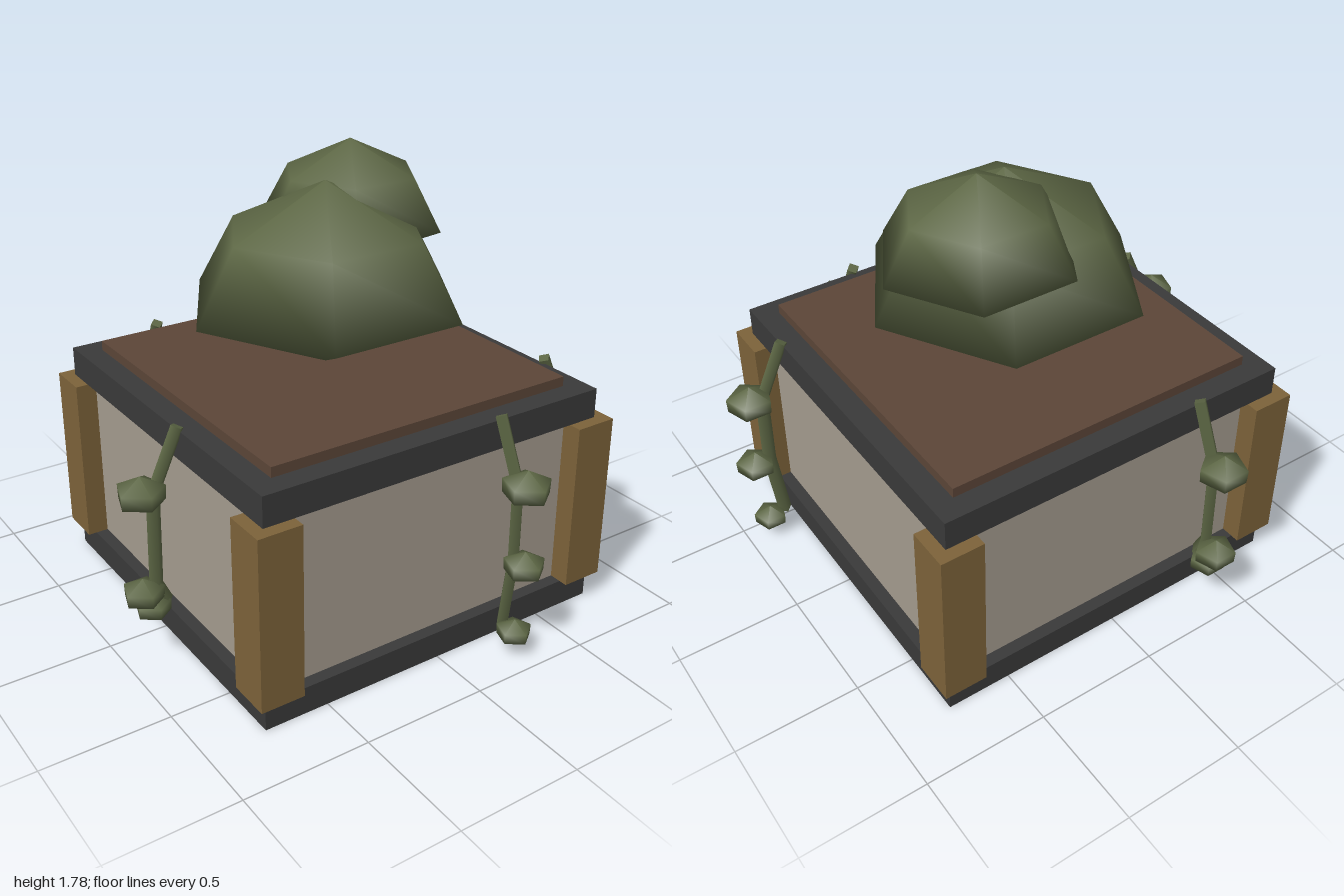
import * as THREE from 'three';

const material = (color) => new THREE.MeshStandardMaterial({ color });
const iron = material(0x3a3a3a);
const wood = material(0x7d633a);
const panel = material(0xa59c8f);
const earth = material(0x5c4638);
const leaf = material(0x5c6644);

function add(parent, name, geometry, mat, x = 0, y = 0, z = 0) {
  const mesh = new THREE.Mesh(geometry, mat);
  mesh.name = name;
  mesh.position.set(x, y, z);
  parent.add(mesh);
  return mesh;
}

// square slab between two heights
function slab(parent, name, half, y0, y1, mat) {
  return add(parent, name, new THREE.BoxGeometry(half * 2, y1 - y0, half * 2), mat, 0, (y0 + y1) / 2, 0);
}

// few-sided turned shape from [radius, height] pairs, bottom to top
function turned(profile, sides, start, scale = 1) {
  const points = profile.map(([r, y]) => new THREE.Vector2(r * scale, y * scale));
  return new THREE.LatheGeometry(points, sides, start);
}

// straight four-sided stem between two points
function stem(parent, a, b) {
  const dir = b.clone().sub(a);
  const mesh = add(parent, 'vineStem', new THREE.CylinderGeometry(0.028, 0.028, dir.length(), 4), leaf);
  mesh.position.copy(a).lerp(b, 0.5);
  mesh.quaternion.setFromUnitVectors(new THREE.Vector3(0, 1, 0), dir.normalize());
}

// hanging vine; place(out, y) turns distance from the middle into a point
function vine(parent, name, place, path, leaves) {
  const group = new THREE.Group();
  group.name = name;
  const points = path.map(([out, y]) => place(out, y));
  for (let i = 1; i < points.length; i++) stem(group, points[i - 1], points[i]);
  const clump = [[0, -0.76], [0.97, -0.34], [1, 0.26], [0, 0.76]];
  for (const [out, y, r] of leaves) {
    add(group, 'vineLeaves', turned(clump, 5, 0, r), leaf).position.copy(place(out, y));
  }
  parent.add(group);
}

export function createModel() {
  const root = new THREE.Group();
  root.name = 'planter';
  const model = new THREE.Group();
  model.name = 'planterParts';
  model.position.z = -0.01;
  root.add(model);

  // planter box
  slab(model, 'base', 0.76, 0, 0.11, iron);
  slab(model, 'walls', 0.71, 0.11, 0.8, panel);
  slab(model, 'rim', 0.745, 0.8, 0.92, iron);
  slab(model, 'soil', 0.655, 0.9, 0.96, earth);
  for (const x of [-1, 1]) {
    for (const z of [-1, 1]) {
      add(model, 'cornerPost', new THREE.BoxGeometry(0.175, 0.69, 0.175), wood, x * 0.708, 0.455, z * 0.708);
    }
  }

  // bush: two faceted domes with pointed undersides
  const dome = [[0, -0.25], [0.565, 0], [0.4, 0.29], [0, 0.48]];
  add(model, 'largeBush', turned(dome, 6, Math.PI / 2), leaf, 0, 1.2, 0);
  add(model, 'smallBush', turned(dome, 6, Math.PI / 2, 0.682), leaf, 0.21, 1.455, -0.14);

  // vines, one over each side
  const longPath = [[0.75, 0.94], [0.86, 0.7], [0.862, 0.39], [0.825, 0.095]];
  const longLeaves = [[0.908, 0.715, 0.093], [0.923, 0.395, 0.079], [0.892, 0.09, 0.068]];
  const shortPath = [[0.75, 0.94], [0.86, 0.7], [0.868, 0.32], [0.83, 0.24]];
  const shortLeaves = [[0.908, 0.715, 0.093], [0.922, 0.305, 0.08], [0.888, 0.235, 0.07]];
  const v = (x, y, z) => new THREE.Vector3(x, y, z);
  vine(model, 'frontVine', (out, y) => v(0.262, y, out), longPath, longLeaves);
  vine(model, 'leftVine', (out, y) => v(out, y, 0.445), longPath, longLeaves);
  vine(model, 'backVine', (out, y) => v(-0.358, y, -out), shortPath, shortLeaves);
  vine(model, 'rightVine', (out, y) => v(-out, y, 0.175), shortPath, shortLeaves);

  return root;
}
